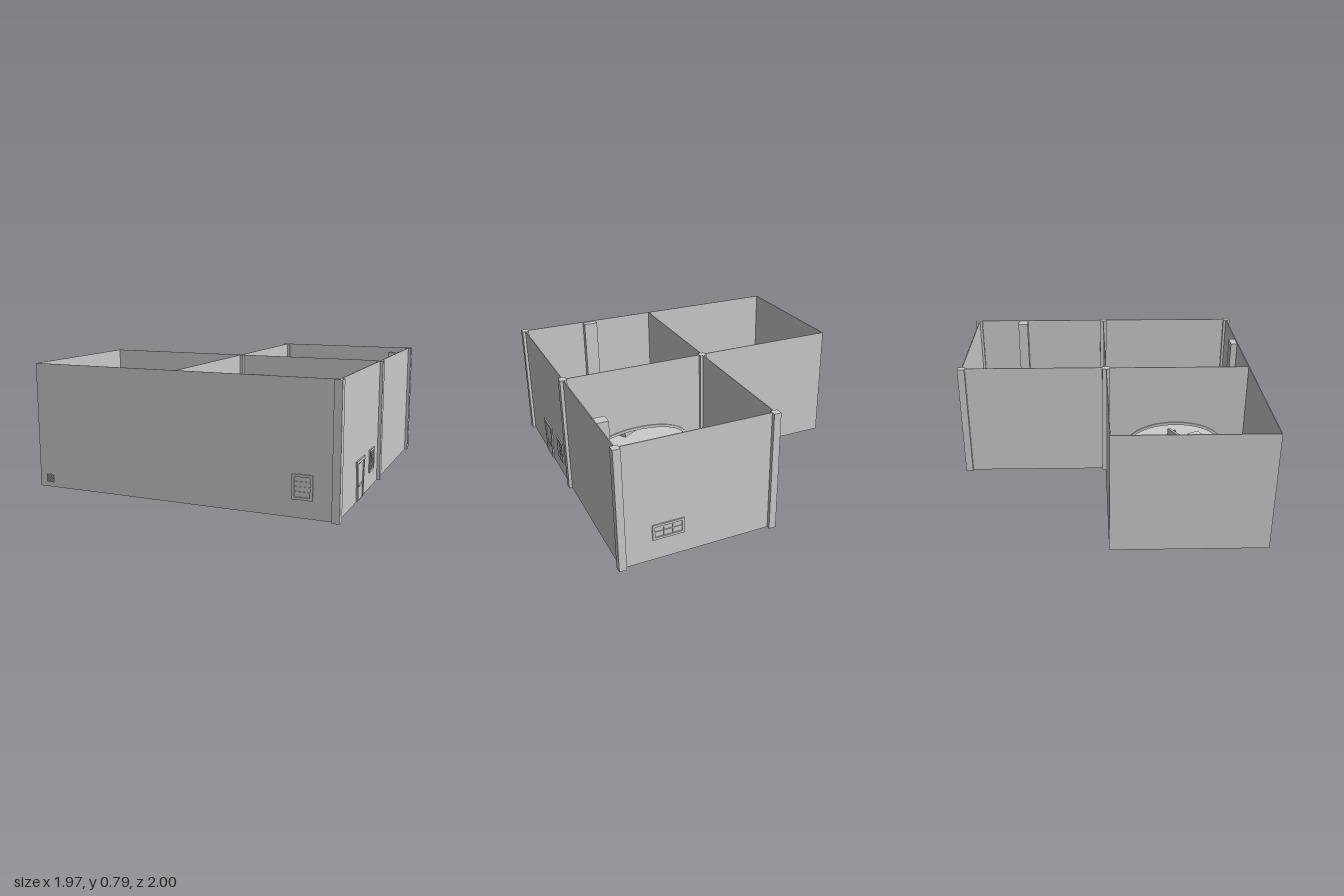
import * as THREE from 'three';

const mat = new THREE.MeshStandardMaterial({ color: 0xcccccc, side: THREE.DoubleSide });
const H = 0.785, T = 0.006;

function add(parent, name, geo, x = 0, y = 0, z = 0) {
  const m = new THREE.Mesh(geo, mat);
  m.name = name;
  m.position.set(x, y, z);
  parent.add(m);
  return m;
}

// box given by its ranges on each axis
function box(parent, name, x0, x1, y0, y1, z0, z1) {
  return add(parent, name, new THREE.BoxGeometry(x1 - x0, y1 - y0, z1 - z0),
    (x0 + x1) / 2, (y0 + y1) / 2, (z0 + z1) / 2);
}

function group(parent, name, x, y, z, ry = 0) {
  const g = new THREE.Group();
  g.name = name;
  g.position.set(x, y, z);
  g.rotation.y = ry;
  parent.add(g);
  return g;
}

// extrusion centred on its depth
function slab(shape, depth) {
  return new THREE.ExtrudeGeometry(shape, { depth, bevelEnabled: false, curveSegments: 24 })
    .translate(0, 0, -depth / 2);
}

function rectShape(w, h, y0 = 0) {
  return new THREE.Shape([[-w / 2, y0], [w / 2, y0], [w / 2, y0 + h], [-w / 2, y0 + h]]
    .map(p => new THREE.Vector2(...p)));
}

// window: frame ring, pane and glazing bars, centred on the wall plane
function windowUnit(parent, x, y, z, ry, w, h, cols, rows) {
  const g = group(parent, 'window', x, y, z, ry);
  const ring = rectShape(w, h, -h / 2);
  ring.holes.push(rectShape(w - 0.03, h - 0.03, -h / 2 + 0.015));
  add(g, 'windowFrame', slab(ring, 0.02));
  const iw = w - 0.03, ih = h - 0.03;
  for (let i = 1; i < cols; i++) add(g, 'windowBar', new THREE.BoxGeometry(0.005, ih, 0.014), -iw / 2 + iw * i / cols);
  for (let i = 1; i < rows; i++) add(g, 'windowBar', new THREE.BoxGeometry(iw, 0.005, 0.014), 0, -ih / 2 + ih * i / rows);
}

function archShape(c, half, spring, rise) {
  const s = new THREE.Shape();
  s.moveTo(c - half, 0.001);
  s.lineTo(c + half, 0.001);
  s.lineTo(c + half, spring);
  s.absellipse(c, spring, half, rise, 0, Math.PI, false);
  s.lineTo(c - half, 0.001);
  return s;
}

// inner wall along local x with a framed archway
function archWall(parent, name, x, z, ry, c, half, rise) {
  const g = group(parent, name, x, 0, z, ry);
  const wall = new THREE.Shape([[0, 0], [0.975, 0], [0.975, H], [0, H]].map(p => new THREE.Vector2(...p)));
  wall.holes.push(archShape(c, half - 0.02, 0.2, rise - 0.02));
  add(g, 'innerWall', slab(wall, T));
  const frame = archShape(c, half, 0.2, rise);
  frame.holes.push(archShape(c, half - 0.02, 0.2, rise - 0.02));
  add(g, 'archFrame', slab(frame, 0.02));
  for (const s of [-1, 1])
    add(g, 'archPost', new THREE.BoxGeometry(0.024, 0.2, 0.028), c + s * (half - 0.01), 0.1, 0);
}

// hearth with firebox and chimney; its back is at local z = 0 and it faces +z
function fireplace(parent, x, z, ry, w, d) {
  const g = group(parent, 'fireplace', x, 0, z, ry);
  const front = rectShape(w, 0.15);
  front.holes.push(rectShape(w * 0.55, 0.085, 0.015));
  add(g, 'surround', slab(front, d * 0.8), 0, 0, d * 0.42);
  box(g, 'fireboxBack', -w / 2, w / 2, 0, 0.15, 0, d * 0.1);
  box(g, 'mantel', -w / 2 - 0.004, w / 2 + 0.004, 0.15, 0.162, 0, d);
  box(g, 'chimney', -w * 0.31, w * 0.31, 0.16, 0.78, 0, d * 0.65);
}

export function createModel() {
  const root = new THREE.Group();
  root.name = 'house';

  // L-shaped floor
  box(root, 'floor', -0.985, 0.965, 0, 0.004, 0, 0.975);
  box(root, 'floor', -0.01, 0.965, 0, 0.004, -0.975, 0);

  // outer walls
  box(root, 'frontWall', -0.985, 0.965, 0, H, 0.975 - T, 0.975);
  box(root, 'leftWall', 0.965 - T, 0.965, 0, H, -0.975, 0.975);
  box(root, 'backWall', -0.01, 0.965, 0, H, -0.975, -0.975 + T);
  box(root, 'rearSideWall', -0.01, -0.01 + T, 0, H, -0.975, 0);
  box(root, 'rightBackWall', -0.985, -0.01, 0, H, 0, T);
  box(root, 'rightWall', -0.985, -0.985 + T, 0, H, 0, 0.975);

  // corner pillars
  for (const [x, z] of [[-0.01, -0.975], [0.962, -0.975], [-0.01, 0], [0.962, 0], [0.962, 0.975]])
    box(root, 'pillar', x - 0.023, x + 0.023, 0, H, z - 0.024, z + 0.024);

  // inner walls with archways
  archWall(root, 'kitchenArchWall', -0.01, 0, 0, 0.485, 0.36, 0.14);
  archWall(root, 'bedroomArchWall', -0.01, 0, -Math.PI / 2, 0.485, 0.337, 0.17);

  // windows and small vent grille
  windowUnit(root, 0.765, 0.178, 0.973, 0, 0.12, 0.145, 1, 4);
  windowUnit(root, 0.963, 0.178, 0.2, Math.PI / 2, 0.12, 0.145, 2, 4);
  windowUnit(root, 0.67, 0.187, -0.973, 0, 0.2, 0.1, 3, 2);
  const vent = group(root, 'ventGrille', -0.91, 0.055, 0.975);
  for (let i = 0; i < 4; i++) {
    add(vent, 'ventBar', new THREE.BoxGeometry(0.05, 0.005, 0.014), 0, -0.0225 + i * 0.015, 0);
    add(vent, 'ventBar', new THREE.BoxGeometry(0.005, 0.05, 0.014), -0.0225 + i * 0.015, 0, 0);
  }

  // front door with flared frame and letter slot
  const door = group(root, 'door', 0.963, 0, 0.49, Math.PI / 2);
  const flare = (b, t, top) => {
    const s = new THREE.Shape();
    s.moveTo(-b, 0.004);
    s.lineTo(b, 0.004);
    s.quadraticCurveTo(b + 0.003, top * 0.65, t, top);
    s.lineTo(-t, top);
    s.quadraticCurveTo(-b - 0.003, top * 0.65, -b, 0.004);
    return s;
  };
  const doorFrame = flare(0.074, 0.098, 0.25);
  doorFrame.holes.push(flare(0.056, 0.074, 0.232));
  add(door, 'doorFrame', slab(doorFrame, 0.022));
  add(door, 'doorPanel', slab(flare(0.05, 0.066, 0.226), 0.012));
  box(door, 'letterSlot', -0.038, 0.038, 0.085, 0.099, -0.009, 0.009);

  // kitchen: counters, island, round table
  box(root, 'counter', 0.465, 0.958, 0, 0.11, -0.968, -0.885);
  box(root, 'counter', 0.865, 0.958, 0, 0.11, -0.885, -0.765);
  box(root, 'island', 0.485, 0.683, 0, 0.1, -0.695, -0.605);
  add(root, 'roundTableTop', new THREE.CylinderGeometry(0.096, 0.096, 0.01, 40), 0.256, 0.095, -0.3);
  add(root, 'roundTableLeg', new THREE.CylinderGeometry(0.015, 0.03, 0.09, 20), 0.256, 0.045, -0.3);

  // fridge with open door
  box(root, 'fridge', 0.868, 0.953, 0, 0.2, -0.445, -0.34);
  const fridgeDoor = group(root, 'fridgeDoor', 0.866, 0, -0.342, 0.53);
  box(fridgeDoor, 'fridgeDoorPanel', -0.01, 0, 0.005, 0.2, -0.1, 0);

  // stove and living room hearth
  fireplace(root, 0.958, -0.628, -Math.PI / 2, 0.115, 0.11);
  fireplace(root, 0.476, 0.968, Math.PI, 0.155, 0.068);

  // sofa and side table
  const sofa = group(root, 'sofa', 0.323, 0, 0.57, 0.544);
  box(sofa, 'sofaSeat', -0.11, 0.11, 0.01, 0.05, -0.035, 0.035);
  box(sofa, 'sofaBack', -0.11, 0.11, 0.01, 0.105, -0.037, -0.018);
  for (const s of [-1, 1]) {
    add(sofa, 'sofaArm', new THREE.BoxGeometry(0.018, 0.07, 0.07), s * 0.102, 0.04, 0);
    const cushion = add(sofa, 'cushion', new THREE.SphereGeometry(0.024, 20, 12), s * 0.075, 0.07, -0.006);
    cushion.scale.set(0.5, 1, 1);
    cushion.rotation.z = s * -0.3;
  }
  const table = group(root, 'sideTable', 0.39, 0, 0.705, 0.5);
  box(table, 'sideTableTop', -0.047, 0.047, 0.045, 0.053, -0.047, 0.047);
  for (const sx of [-1, 1]) for (const sz of [-1, 1])
    add(table, 'sideTableLeg', new THREE.BoxGeometry(0.008, 0.046, 0.008), sx * 0.04, 0.023, sz * 0.04);

  // bed
  const bed = group(root, 'bed', -0.84, 0, 0.082);
  box(bed, 'bedFrame', -0.135, 0.11, 0.03, 0.045, -0.068, 0.068);
  box(bed, 'mattress', -0.13, 0.065, 0.045, 0.07, -0.06, 0.06);
  box(bed, 'headboard', -0.14, -0.13, 0, 0.12, -0.07, 0.07);
  box(bed, 'footboard', 0.1, 0.11, 0, 0.08, -0.07, 0.07);
  const blanket = add(bed, 'blanket', new THREE.CylinderGeometry(0.062, 0.062, 0.125, 28, 1, false, 0, Math.PI), 0.003, 0.068, 0);
  blanket.rotation.z = Math.PI / 2;
  blanket.scale.x = 0.25;
  const pillow = add(bed, 'pillow', new THREE.SphereGeometry(0.04, 20, 12), -0.098, 0.078, 0);
  pillow.scale.set(0.75, 0.35, 1.1);
  for (const s of [-1, 1]) {
    box(bed, 'bedRail', -0.135, 0.14, 0.03, 0.055, s * 0.068 - 0.004, s * 0.068 + 0.004);
    for (const x of [-0.07, 0.07]) add(bed, 'bedLeg', new THREE.BoxGeometry(0.01, 0.03, 0.01), x, 0.015, s * 0.06);
  }

  // chest with rounded lid
  const chest = group(root, 'chest', -0.887, 0, 0.61, 0.46);
  box(chest, 'chestBase', -0.033, 0.033, 0, 0.05, -0.063, 0.063);
  const lid = add(chest, 'chestLid', new THREE.CylinderGeometry(0.033, 0.033, 0.126, 24, 1, false, Math.PI / 2, Math.PI), 0, 0.05, 0);
  lid.rotation.x = Math.PI / 2;
  lid.scale.z = 0.7;

  // framed pictures on the bedroom walls
  for (const [x, w] of [[-0.69, 0.05], [-0.52, 0.025], [-0.275, 0.05]])
    box(root, 'picture', x - w / 2, x + w / 2, 0.2, 0.26, 0.964, 0.97);
  for (const z of [0.41, 0.79])
    box(root, 'picture', -0.981, -0.976, 0.2, 0.26, z - 0.025, z + 0.025);

  return root;
}
